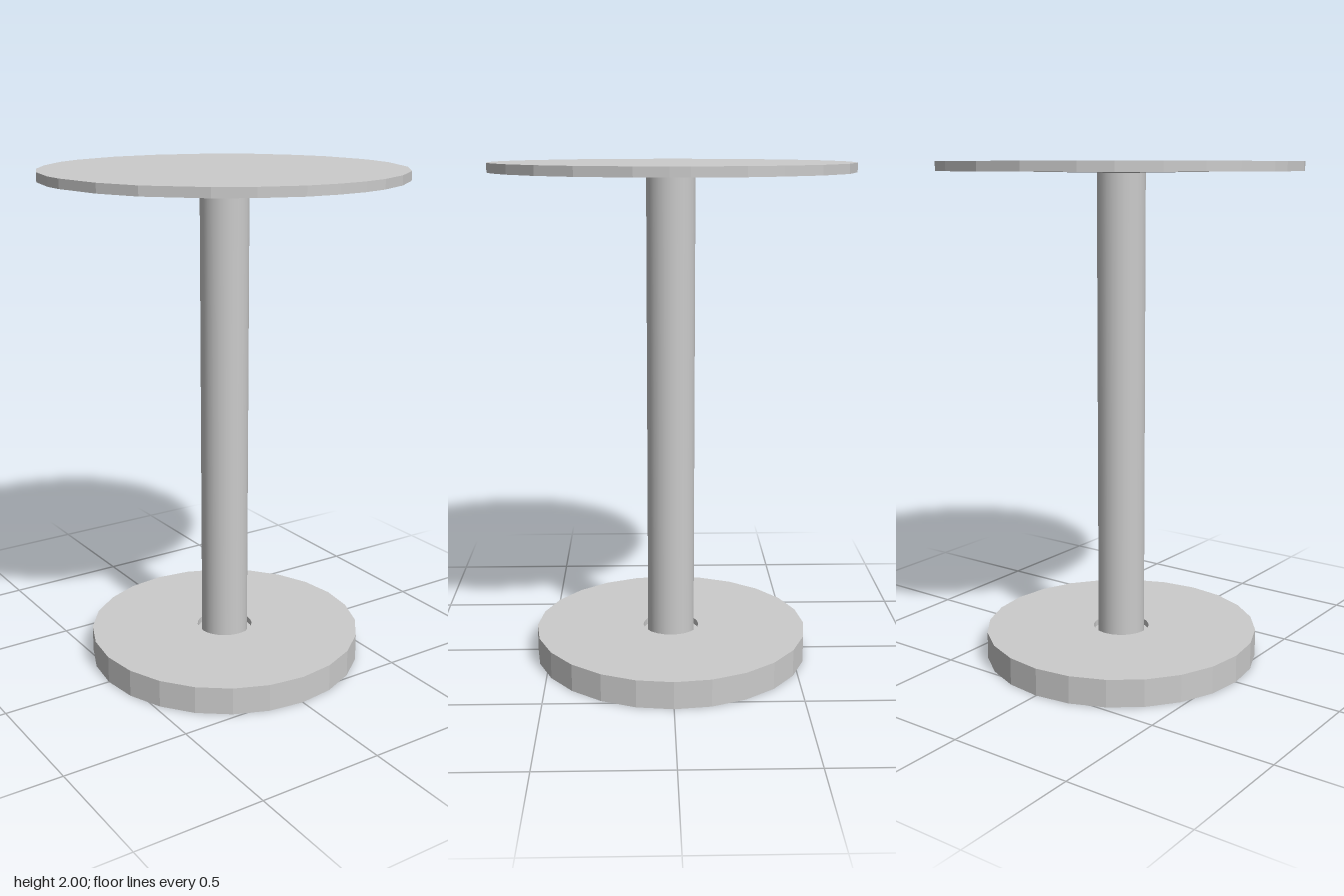
import * as THREE from 'three';

const flat = new THREE.MeshStandardMaterial({ color: 0xcccccc, flatShading: true });
const smooth = new THREE.MeshStandardMaterial({ color: 0xcccccc });

function addPart(group, name, geometry, material) {
  const mesh = new THREE.Mesh(geometry, material);
  mesh.name = name;
  group.add(mesh);
  return mesh;
}

export function createModel() {
  const table = new THREE.Group();
  table.name = 'pedestalTable';

  // Heavy faceted foot with a shallow socket around the post
  const footProfile = [[0, 0], [0.555, 0], [0.555, 0.11], [0.114, 0.11], [0.114, 0.085], [0, 0.085]]
    .map(([r, y]) => new THREE.Vector2(r, y));
  addPart(table, 'base', new THREE.LatheGeometry(footProfile, 24), flat);

  // Slim round post
  const postBottom = 0.08, postTop = 1.97;
  const post = new THREE.CylinderGeometry(0.095, 0.095, postTop - postBottom, 24);
  post.translate(0, (postTop + postBottom) / 2, 0);
  addPart(table, 'post', post, smooth);

  // Thin, slightly uneven hand-cut top; outline in x, z
  const outline = [
    [-0.09, -0.705], [0.11, -0.7], [0.32, -0.635], [0.49, -0.515], [0.6, -0.37], [0.665, -0.24],
    [0.7, -0.05], [0.703, 0.02], [0.69, 0.14], [0.615, 0.34], [0.51, 0.48], [0.37, 0.59],
    [0.23, 0.66], [0.12, 0.69], [0, 0.7], [-0.13, 0.69], [-0.29, 0.635], [-0.42, 0.56],
    [-0.59, 0.385], [-0.665, 0.23], [-0.705, 0.03], [-0.705, -0.06], [-0.67, -0.23],
    [-0.61, -0.36], [-0.52, -0.48], [-0.4, -0.59], [-0.29, -0.65],
  ].map(([x, z]) => new THREE.Vector2(x, z));
  const top = new THREE.ExtrudeGeometry(new THREE.Shape(outline), { depth: 0.036, bevelEnabled: false });
  top.rotateX(Math.PI / 2).translate(0, 2, 0);
  addPart(table, 'tabletop', top, flat);

  // Very slight swell of the underside toward the post
  const swell = new THREE.CylinderGeometry(0.6, 0.1, 0.008, 24);
  swell.translate(0, 1.961, 0);
  addPart(table, 'tabletopUnderside', swell, flat);

  return table;
}
